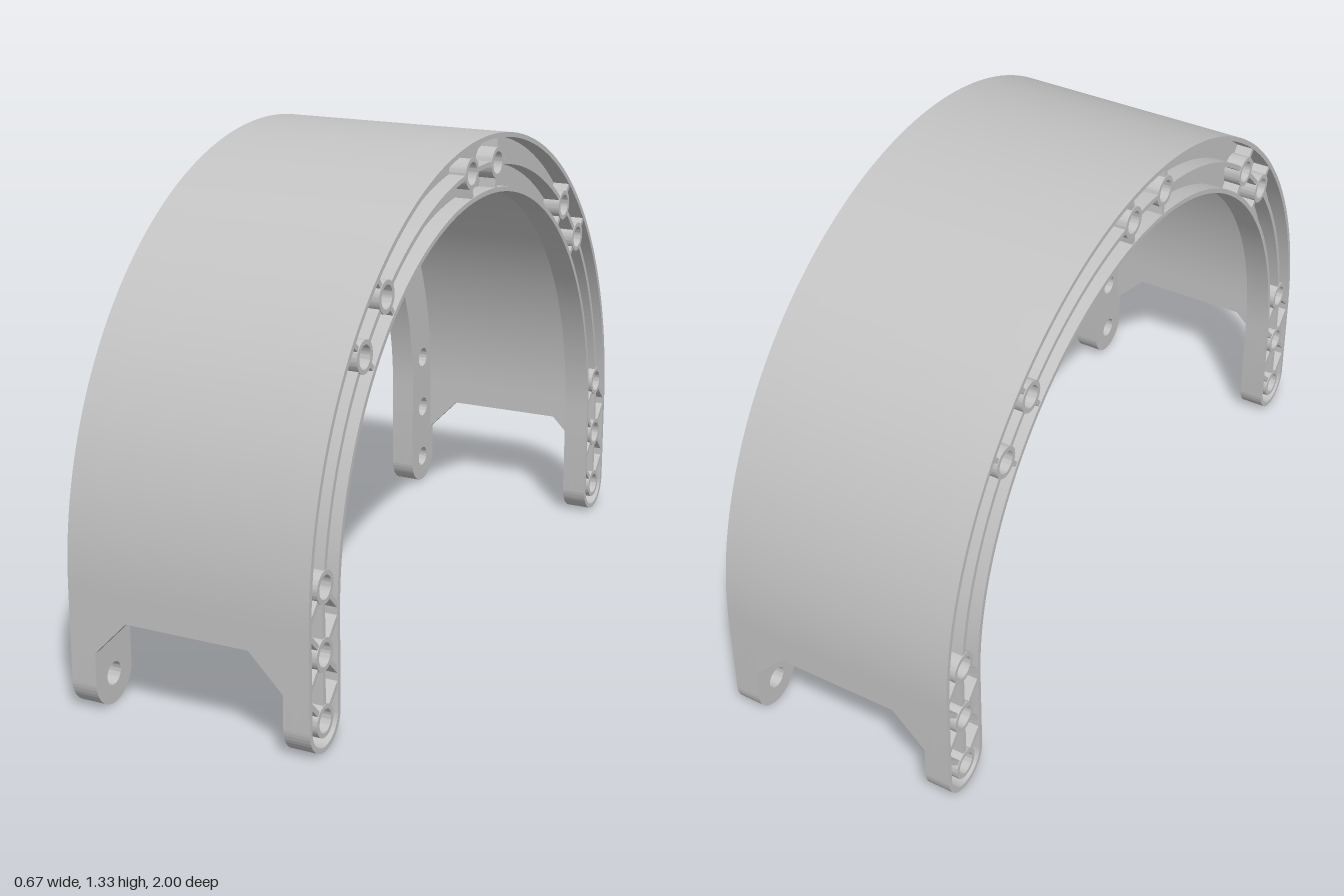
import * as THREE from 'three';
import { toCreasedNormals } from 'three/addons/utils/BufferGeometryUtils.js';

const MID = 0.921, HALF = 0.079;          // centre-line radius and half width of the side arch
const CY = 0.333;                         // height of the arch centre
const INNER = 0.262, FLOOR = 0.285, OUTER = 0.333; // flange depth levels
const HOLE = 0.03, BOSS = 0.042, RIB = 0.013, SHELL = 0.02;

const grey = new THREE.MeshStandardMaterial({ color: 0xc3c3c3 });
grey.name = 'light grey';

// Hole centres: four pairs on the arc, two more in each leg
const arcAngles = [5.4, 39.8, 50.2, 84.7, 95.3, 129.8, 139.6 + 0.6, 174.6].map(THREE.MathUtils.degToRad);
const onArc = (a, r = MID) => [r * Math.cos(a), CY + r * Math.sin(a)];
const legHoles = [-MID, MID].flatMap(x => [[x, HALF], [x, 0.25]]);
const holes = [...arcAngles.map(a => onArc(a)), ...legHoles];

// Arch with straight legs and rounded feet
function arch(path, w) {
  const ro = MID + w, ri = MID - w;
  path.moveTo(ro, HALF);
  path.lineTo(ro, CY);
  path.absarc(0, CY, ro, 0, Math.PI, false);
  path.lineTo(-ro, HALF);
  path.absarc(-MID, HALF, w, Math.PI, 2 * Math.PI, false);
  path.lineTo(-ri, CY);
  path.absarc(0, CY, ri, Math.PI, 0, true);
  path.lineTo(ri, HALF);
  path.absarc(MID, HALF, w, Math.PI, 2 * Math.PI, false);
  return path;
}

function band(ro, ri, a0, a1) {
  const s = new THREE.Shape();
  s.absarc(0, CY, ro, a0, a1, false);
  s.absarc(0, CY, ri, a1, a0, true);
  return s;
}

function circle(path, x, y, r) {
  path.absarc(x, y, r, 0, 2 * Math.PI, false);
  return path;
}

function extrude(name, shape, z0, z1, curveSegments = 64) {
  const geo = new THREE.ExtrudeGeometry(shape, { depth: z1 - z0, bevelEnabled: false, curveSegments });
  geo.translate(0, 0, z0);
  const mesh = new THREE.Mesh(toCreasedNormals(geo, 0.5), grey);
  mesh.name = name;
  return mesh;
}

// Straight rib between two points of the recess
function rib([x1, y1], [x2, y2]) {
  const geo = new THREE.BoxGeometry(Math.hypot(x2 - x1, y2 - y1), RIB, OUTER - FLOOR - 0.002);
  const mesh = new THREE.Mesh(geo, grey);
  mesh.name = 'rib';
  mesh.position.set((x1 + x2) / 2, (y1 + y2) / 2, (FLOOR + OUTER) / 2 - 0.001);
  mesh.rotation.z = Math.atan2(y2 - y1, x2 - x1);
  return mesh;
}

// Side arch, drawn in its own plane with the recess facing +z
function flange(name) {
  const g = new THREE.Group();
  g.name = name;

  const plate = arch(new THREE.Shape(), HALF);
  holes.forEach(([x, y]) => plate.holes.push(circle(new THREE.Path(), x, y, HOLE)));
  g.add(extrude('plate', plate, INNER, FLOOR));

  const rim = arch(new THREE.Shape(), HALF);
  rim.holes.push(arch(new THREE.Path(), HALF - RIB));
  g.add(extrude('rim', rim, FLOOR, OUTER));

  for (const [x, y] of holes) {
    const ring = circle(new THREE.Shape(), x, y, BOSS);
    ring.holes.push(circle(new THREE.Path(), x, y, HOLE));
    g.add(extrude('boss', ring, FLOOR, OUTER, 24));
  }

  // Curved ribs from boss to boss along the centre line
  const gap = (BOSS - 0.004) / MID;
  for (let i = 0; i < arcAngles.length - 1; i++) {
    const s = band(MID + RIB / 2, MID - RIB / 2, arcAngles[i] + gap, arcAngles[i + 1] - gap);
    g.add(extrude('centreRib', s, FLOOR, OUTER - 0.002, 24));
  }

  // Radial ribs from the upper bosses to the rim
  const near = BOSS - 0.004, far = HALF - RIB / 2;
  for (const a of arcAngles.slice(1, -1)) {
    for (const s of [-1, 1]) g.add(rib(onArc(a, MID + s * near), onArc(a, MID + s * far)));
  }

  // Upright and diagonal ribs in the legs
  const levels = [HALF, 0.25, 0.42];
  for (const x of [-MID, MID]) {
    for (let i = 0; i < 2; i++) {
      const lo = levels[i], hi = levels[i + 1];
      g.add(rib([x, lo + near], [x, hi - near]));
      for (const s of [-1, 1]) {
        const d = near * Math.SQRT1_2;
        g.add(rib([x + s * d, lo + d], [x + s * far, lo + far]));
        g.add(rib([x + s * d, hi - d], [x + s * far, hi - far]));
      }
    }
  }
  return g;
}

export function createModel() {
  const model = new THREE.Group();
  model.name = 'archedCover';

  const left = flange('leftFlange');
  left.rotation.y = Math.PI / 2;
  const right = flange('rightFlange');
  right.rotation.y = -Math.PI / 2;
  model.add(left, right);

  // Curved skin between the flanges
  const skin = extrude('curvedSkin', band(1, 1 - SHELL, 0, Math.PI), -INNER, INNER);
  skin.rotation.y = Math.PI / 2;
  model.add(skin);

  // Straight lower skin with a chamfered cut-out, front and back
  const apron = new THREE.Shape([
    [-INNER, CY], [-INNER, 0.165], [-0.17, 0.26], [0.17, 0.26], [INNER, 0.165], [INNER, CY],
  ].map(p => new THREE.Vector2(...p)));
  for (const [name, turn] of [['frontApron', 0], ['backApron', Math.PI]]) {
    const mesh = extrude(name, apron, 1 - SHELL, 1);
    mesh.rotation.y = turn;
    model.add(mesh);
  }
  return model;
}
